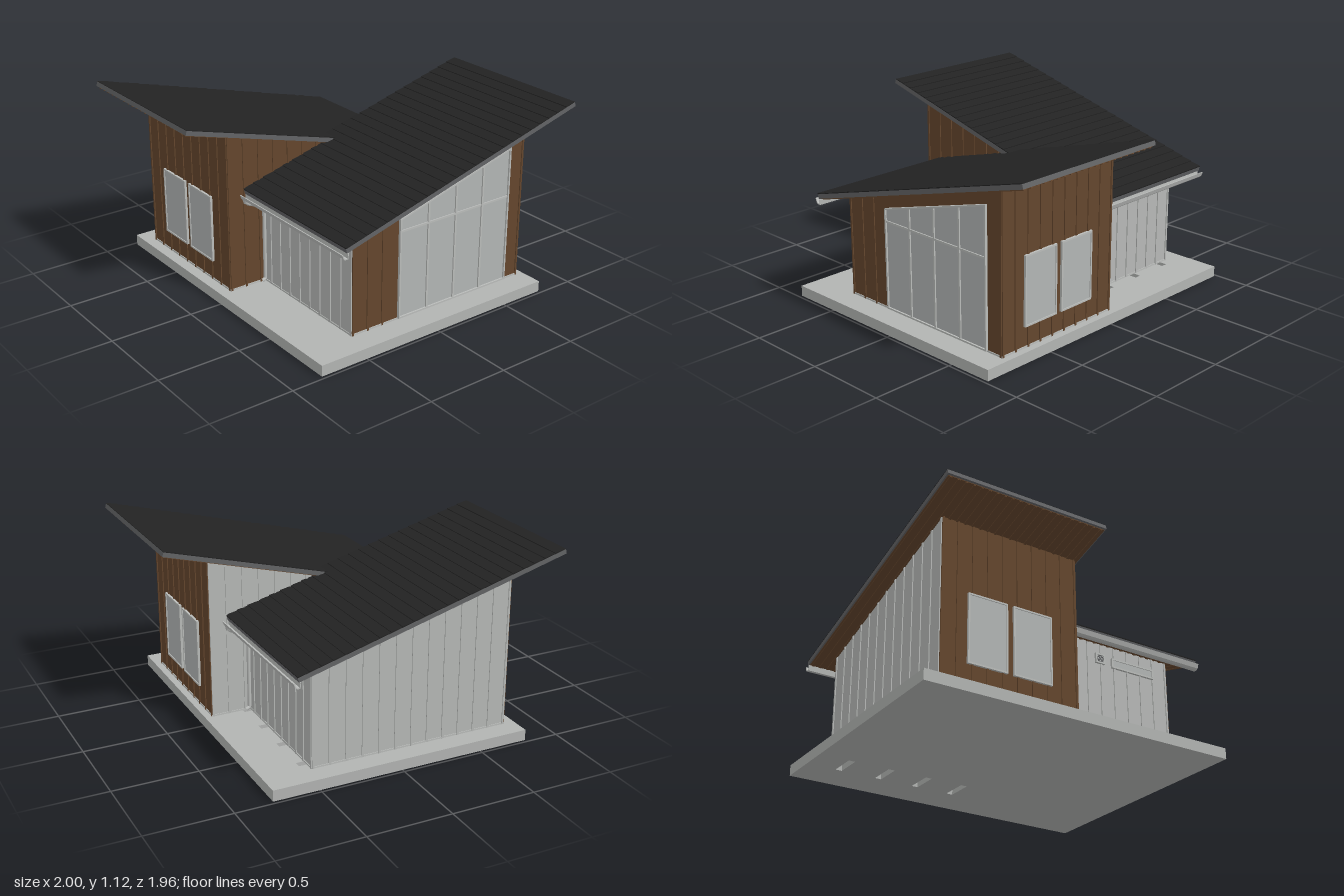
import * as THREE from 'three';

const mat = (name, color) => {
  const m = new THREE.MeshStandardMaterial({ color });
  m.name = name;
  return m;
};

// Underside of the main roof: a single slope rising towards +x
const LOW = { x: -0.62, y: 0.65 }, SLOPE = 0.2747, ANGLE = Math.atan(SLOPE);
const under = (x) => LOW.y + SLOPE * (x - LOW.x);
const WALL = { x0: -0.49, x1: 0.73, z0: -0.03, z1: 0.83 }, BASE = 0.065;

export function createModel() {
  const M = {
    concrete: mat('concrete', 0xb2b4b2),
    grey: mat('grey siding', 0xb6b8b6),
    brown: mat('brown siding', 0x64462d),
    glass: mat('glass', 0xb2b5b4),
    trim: mat('light trim', 0xbabcba),
    roofing: mat('black roofing', 0x222222),
    fascia: mat('dark grey fascia', 0x626365),
  };

  const add = (parent, name, geo, material) => {
    const mesh = new THREE.Mesh(geo, material);
    mesh.name = name;
    parent.add(mesh);
    return mesh;
  };
  // Box given by its two extreme corners
  const box = (parent, name, material, x0, x1, y0, y1, z0, z1) => {
    const mesh = add(parent, name, new THREE.BoxGeometry(x1 - x0, y1 - y0, z1 - z0), material);
    mesh.position.set((x0 + x1) / 2, (y0 + y1) / 2, (z0 + z1) / 2);
    return mesh;
  };
  const poly = (pts) => new THREE.Shape(pts.map(([x, y]) => new THREE.Vector2(x, y)));
  const rectPts = (x0, x1, y0, y1) => [[x0, y0], [x1, y0], [x1, y1], [x0, y1]];
  const extrude = (parent, name, material, shape, z0, z1) => {
    const geo = new THREE.ExtrudeGeometry(shape, { depth: z1 - z0, bevelEnabled: false });
    geo.translate(0, 0, z0);
    return add(parent, name, geo, material);
  };

  // Framed window in the XY plane, facing +z
  const windowUnit = (name, w, h) => {
    const g = new THREE.Group();
    g.name = name;
    const f = 0.01;
    const ring = poly(rectPts(-w / 2, w / 2, -h / 2, h / 2));
    ring.holes.push(poly(rectPts(-w / 2 + f, w / 2 - f, -h / 2 + f, h / 2 - f)));
    extrude(g, 'windowFrame', M.trim, ring, 0, 0.014);
    box(g, 'windowPane', M.glass, -w / 2 + f, w / 2 - f, -h / 2 + f, h / 2 - f, 0, 0.009);
    return g;
  };

  // Walls with vertical battens
  function walls(g, frontMat, backMat, highMat, lowMat, glazed) {
    const { x0, x1, z0, z1 } = WALL, t = 0.01;
    const gable = () => poly([[x0 + t, BASE], [x1 - t, BASE], [x1 - t, under(x1 - t)], [x0 + t, under(x0 + t)]]);
    extrude(g, 'frontWall', frontMat, gable(), z1 - t, z1);
    extrude(g, 'backWall', backMat, gable(), z0, z0 + t);
    box(g, 'highWall', highMat, x1 - t, x1, BASE, under(x1), z0, z1);
    box(g, 'lowWall', lowMat, x0, x0 + t, BASE, under(x0), z0, z1);
    box(g, 'baseTrim', M.trim, x0 - 0.004, x1 + 0.004, BASE, BASE + 0.01, z0 - 0.004, z1 + 0.004);

    const w = 0.006, d = 0.006;
    for (let i = 0; i <= 12; i++) {
      const x = x0 + w + (i * (x1 - x0 - 2 * w)) / 12, top = under(x);
      if (!glazed || x < -0.19 || x > 0.635)
        box(g, 'frontBatten', frontMat, x - w, x + w, BASE, top, z1, z1 + d);
      box(g, 'backBatten', backMat, x - w, x + w, BASE, top, z0 - d, z0);
    }
    for (let i = 0; i <= 9; i++) {
      const z = z0 + w + (i * (z1 - z0 - 2 * w)) / 9;
      box(g, 'highBatten', highMat, x1, x1 + d, BASE, under(x1), z - w, z + w);
      box(g, 'lowBatten', lowMat, x0 - d, x0, BASE, under(x0), z - w, z + w);
    }
  }

  // Sloping roof: fascia slab, lapped roofing and boarded soffit
  function roof(g) {
    const r = new THREE.Group();
    r.name = 'roof';
    r.position.set(LOW.x, LOW.y, 0);
    r.rotation.z = ANGLE;
    g.add(r);
    const len = 1.62 / Math.cos(ANGLE), z0 = -0.06, z1 = 0.955, n = 24;
    box(r, 'roofFascia', M.fascia, 0, len, 0, 0.027, z0, z1);
    const pts = [[len, 0.027], [0, 0.027]];
    for (let i = 0; i < n; i++)
      pts.push([(i * len) / n, 0.034], [((i + 1) * len) / n, 0.0295]);
    extrude(r, 'roofing', M.roofing, poly(pts.reverse()), z0, z1);
    box(r, 'soffit', M.brown, 0.01, len - 0.012, -0.004, 0, z0 + 0.008, z1 - 0.008);
    for (let z = z0 + 0.03; z < z1 - 0.02; z += 0.048)
      box(r, 'soffitBoard', M.brown, 0.012, len - 0.014, -0.009, -0.004, z - 0.007, z + 0.007);
  }

  // Gutter along the low eave, with its downpipe
  function drainage(g) {
    const trough = poly([[-0.652, 0.648], [-0.642, 0.622], [-0.632, 0.614], [-0.612, 0.614],
      [-0.608, 0.648], [-0.613, 0.648], [-0.616, 0.62], [-0.63, 0.62], [-0.637, 0.626], [-0.646, 0.648]]);
    extrude(g, 'gutter', M.trim, trough, -0.055, 0.955);
    const z = 0.022;
    const path = new THREE.CatmullRomCurve3([[-0.625, 0.618], [-0.622, 0.602], [-0.605, 0.588], [-0.535, 0.561],
      [-0.51, 0.548], [-0.503, 0.525], [-0.503, 0.3], [-0.503, 0.1], [-0.507, 0.083], [-0.525, 0.076]]
      .map(([x, y]) => new THREE.Vector3(x, y, z)), false, 'catmullrom', 0.3);
    add(g, 'downpipe', new THREE.TubeGeometry(path, 60, 0.011, 10), M.trim);
    const outlet = add(g, 'gutterOutlet', new THREE.CylinderGeometry(0.018, 0.012, 0.025, 12), M.trim);
    outlet.position.set(-0.625, 0.61, z);
  }

  // Openings in the two end walls
  function endOpenings(g) {
    const place = (unit, x, y, z, turn) => {
      unit.position.set(x, y, z);
      unit.rotation.y = turn;
      g.add(unit);
    };
    for (const z of [0.2625, 0.545])
      place(windowUnit('sideWindow', 0.245, 0.41), WALL.x1, 0.395, z, Math.PI / 2);
    place(windowUnit('highWindow', 0.305, 0.06), WALL.x0, 0.578, 0.577, -Math.PI / 2);
    // Fan vent
    const vent = windowUnit('vent', 0.065, 0.062);
    add(vent, 'ventRing', new THREE.TorusGeometry(0.019, 0.003, 8, 20), M.fascia).position.z = 0.01;
    for (const a of [Math.PI / 4, -Math.PI / 4])
      box(vent, 'ventBlade', M.fascia, -0.018, 0.018, -0.003, 0.003, 0.009, 0.012).rotation.z = a;
    place(vent, WALL.x0, 0.585, 0.343, -Math.PI / 2);
  }

  // Tall glazing with a raked head
  function glazing(g) {
    const x0 = -0.175, x1 = 0.625, y0 = BASE + 0.006, f = 0.01, z = WALL.z1;
    const head = (x) => 0.675 + 0.279 * (x - x0);
    const outline = (i) => [[x0 + i, y0 + i], [x1 - i, y0 + i], [x1 - i, head(x1 - i) - i], [x0 + i, head(x0 + i) - i]];
    const ring = poly(outline(0));
    ring.holes.push(poly(outline(f)));
    extrude(g, 'glazingFrame', M.trim, ring, z, z + 0.016);
    extrude(g, 'glazingPane', M.glass, poly(outline(f)), z, z + 0.006);
    for (const x of [0.028, 0.225, 0.422])
      box(g, 'mullion', M.trim, x - 0.006, x + 0.006, y0 + f, head(x) - f, z, z + 0.014);
    box(g, 'transom', M.trim, x0 + f, x1 - f, 0.594, 0.606, z, z + 0.013);
  }

  const model = new THREE.Group();
  model.name = 'house';

  // Concrete slab with four service slots
  const plan = poly(rectPts(-0.8, 0.775, -0.98, 0.98));
  for (const z of [-0.04, -0.28, -0.525, -0.78])
    plan.holes.push(poly(rectPts(0.37, 0.54, -z - 0.02, -z + 0.02)));
  extrude(model, 'slab', M.concrete, plan, 0, BASE).rotation.x = -Math.PI / 2;

  // Two wings, the back one turned half round
  for (const isFront of [true, false]) {
    const wing = new THREE.Group();
    wing.name = isFront ? 'frontWing' : 'backWing';
    const [front, back] = isFront ? [M.brown, M.grey] : [M.grey, M.brown];
    walls(wing, front, back, M.brown, M.grey, isFront);
    roof(wing);
    drainage(wing);
    endOpenings(wing);
    if (isFront) glazing(wing);
    else {
      wing.rotation.y = Math.PI;
      wing.position.z = -0.025;
    }
    model.add(wing);
  }
  return model;
}
